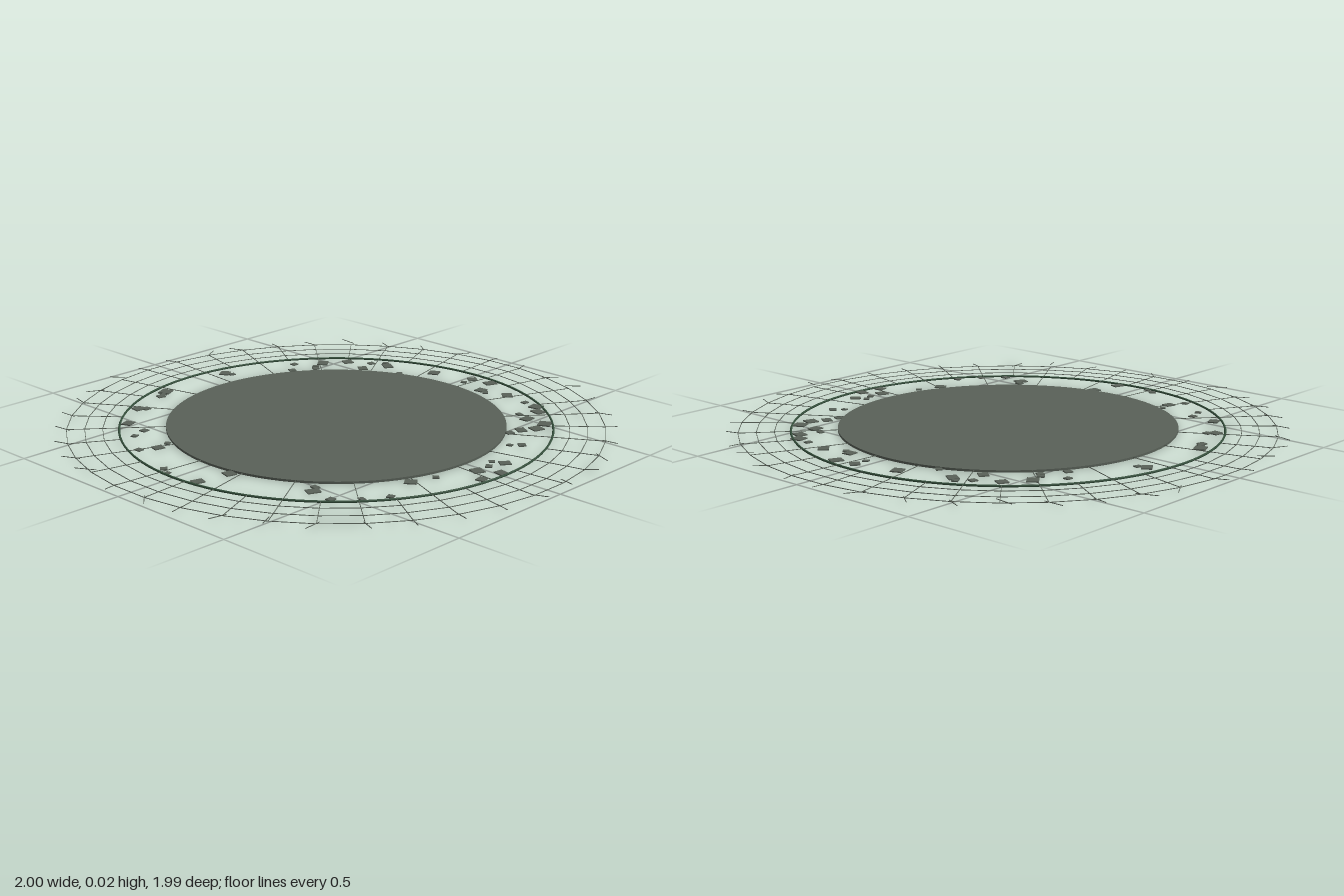
import * as THREE from 'three';

const DARK = new THREE.MeshStandardMaterial({ color: 0x596158 });
const RIM = new THREE.MeshStandardMaterial({ color: 0x35503c });
const THREAD = new THREE.MeshStandardMaterial({ color: 0x596158 });

// chip centres, x and z in hundredths
const LARGE = [3, -72, 14, -64, 25, -66, -13, -68, 11, -73, 41, -63, 45, -59, 47, -50, 55, -50, 56, -44,
  53, -39, 70, -9, 75, -1, 68, 3, 74, 8, 59, 26, 42, 54, 11, 62, 9, 74, -25, 62, -52, 53, -62, 40,
  -70, 20, -71, -11, -53, -47, -47, -55, -37, -53, -32, -62];
const SMALL = [3, -67, 17, -63, 35, -64, 42, -52, 52, -34, 63, -27, 60, -24, 66, -7, 68, -3, 62, 17,
  63, 40, 58, 48, 51, 55, 40, 51, -8, 74, -4, 76, -26, 57, -28, 68, -40, 60, -42, 54, -60, 38,
  -67, 25, -68, 23, -68, -12, -55, -32, -50, -40, -52, -42, -60, -38, -39, -60, -35, -64, -22, -58];

function createModel() {
  const model = new THREE.Group();
  let seed = 7;
  const rand = () => (seed = (seed * 16807) % 2147483647) / 2147483647;

  const add = (parent, name, geometry, material) => {
    const mesh = new THREE.Mesh(geometry, material);
    mesh.name = name;
    parent.add(mesh);
    return mesh;
  };
  const group = (name) => {
    const g = new THREE.Group();
    g.name = name;
    model.add(g);
    return g;
  };
  // thin straight strand between two polar points
  const strand = (parent, name, r0, a0, r1, a1, y) => {
    const x0 = r0 * Math.sin(a0), z0 = r0 * Math.cos(a0);
    const x1 = r1 * Math.sin(a1), z1 = r1 * Math.cos(a1);
    const mesh = add(parent, name, new THREE.BoxGeometry(0.002, 0.002, Math.hypot(x1 - x0, z1 - z0)), THREAD);
    mesh.position.set((x0 + x1) / 2, y, (z0 + z1) / 2);
    mesh.rotation.y = Math.atan2(x1 - x0, z1 - z0);
  };

  // central disc
  add(model, 'disc', new THREE.CylinderGeometry(0.607, 0.607, 0.008, 96), DARK).position.y = 0.004;

  // thin hoop around the disc
  const hoop = add(model, 'hoop', new THREE.TorusGeometry(0.772, 0.004, 6, 96), RIM);
  hoop.rotation.x = Math.PI / 2;
  hoop.position.y = 0.004;

  // loose flat chips between disc and hoop
  const chips = group('chips');
  for (const [list, size] of [[LARGE, 0.041], [SMALL, 0.024]]) {
    for (let i = 0; i < list.length; i += 2) {
      const s = size * (0.85 + 0.3 * rand());
      const chip = add(chips, 'chip', new THREE.BoxGeometry(s, 0.004, s * (0.75 + 0.3 * rand())), DARK);
      chip.position.set(list[i] / 100, 0.004, list[i + 1] / 100);
      chip.rotation.y = rand() * Math.PI;
    }
  }

  // net of spokes, cross strands and frayed ends
  const net = group('net');
  const count = 40, step = (Math.PI * 2) / count;
  for (let i = 0; i < count; i++) {
    const a = (i + 0.5) * step;
    strand(net, 'spoke', i % 2 ? 0.605 : 0.772, a, 0.957, a, 0.005);
    for (const r of [0.83, 0.893, 0.957]) strand(net, 'crossStrand', r, a, r, a + step, 0.005);
    const lean = (rand() - 0.5) * 0.09;
    strand(net, 'frayedEnd', 0.945, a - lean * 0.3, 0.999, a + lean, i % 7 === 3 ? 0.015 : 0.006);
  }
  return model;
}

export { createModel };
